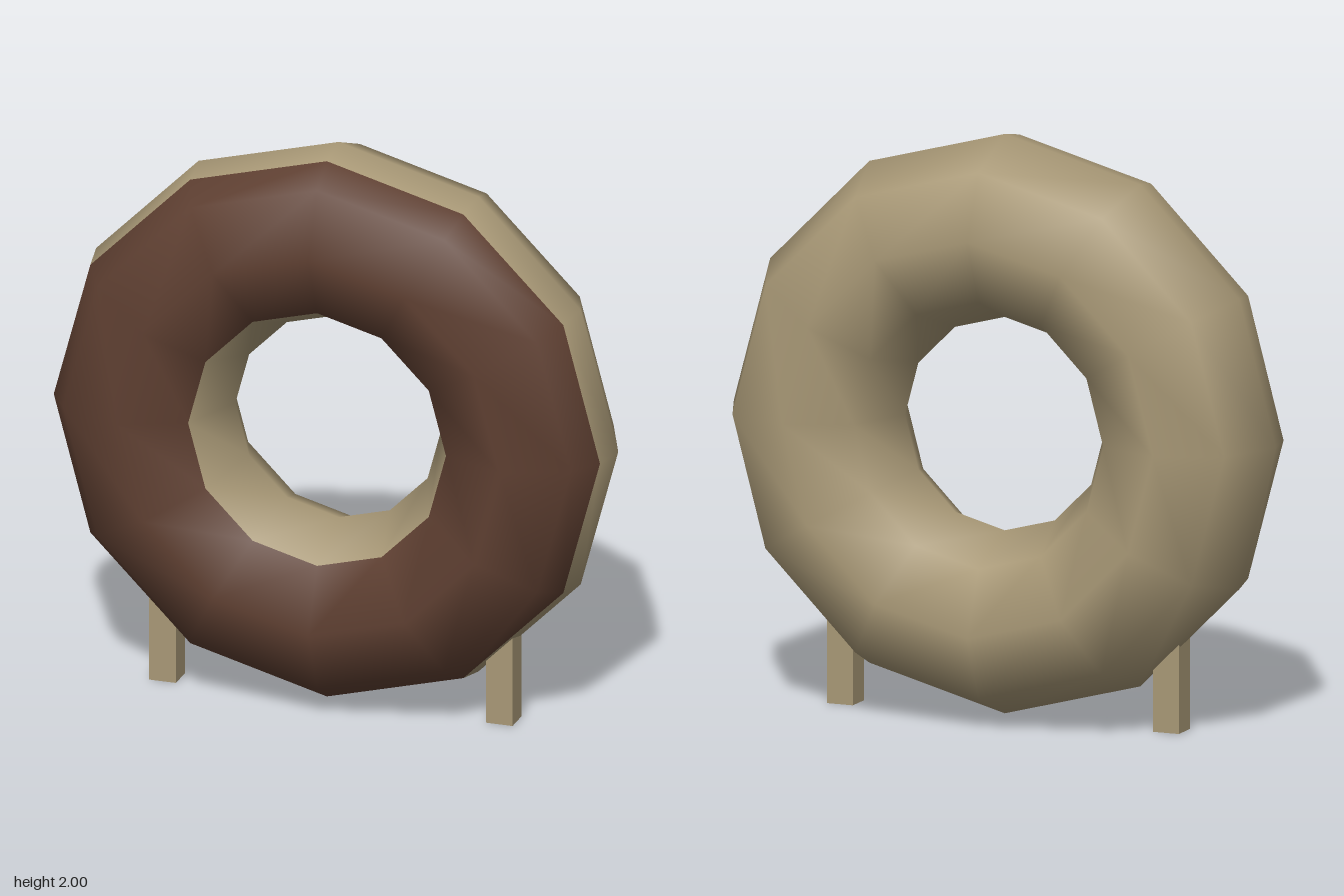
import * as THREE from 'three';

const RING = 0.679, TUBE = 0.3135, CENTER_Y = 1.0075, SIDES = 12;

// Part of a torus around z: one strip of quads between the given tube angles (degrees).
function ringBand(angles) {
  const position = [], normal = [], index = [];
  const n = angles.length;
  for (let i = 0; i <= SIDES; i++) {
    const u = (i / SIDES) * Math.PI * 2;
    for (const degrees of angles) {
      const v = THREE.MathUtils.degToRad(degrees);
      const r = RING + TUBE * Math.cos(v);
      position.push(r * Math.cos(u), r * Math.sin(u), TUBE * Math.sin(v));
      normal.push(Math.cos(v) * Math.cos(u), Math.cos(v) * Math.sin(u), Math.sin(v));
    }
  }
  for (let i = 0; i < SIDES; i++) {
    for (let j = 0; j < n - 1; j++) {
      const a = i * n + j, b = a + n;
      index.push(a, b, b + 1, a, b + 1, a + 1);
    }
  }
  const geometry = new THREE.BufferGeometry();
  geometry.setAttribute('position', new THREE.Float32BufferAttribute(position, 3));
  geometry.setAttribute('normal', new THREE.Float32BufferAttribute(normal, 3));
  geometry.setIndex(index);
  return geometry;
}

export function createModel() {
  const dough = new THREE.MeshStandardMaterial({ color: 0xa89876 });
  dough.name = 'dough beige';
  const chocolate = new THREE.MeshStandardMaterial({ color: 0x5e3f31 });
  chocolate.name = 'chocolate brown';

  const model = new THREE.Group();
  model.name = 'standingDonut';
  const add = (name, geometry, material, x, y, z) => {
    const mesh = new THREE.Mesh(geometry, material);
    mesh.name = name;
    mesh.position.set(x, y, z);
    model.add(mesh);
  };

  // Icing covers the front; dough wraps from the hole round the back to the rim
  add('icing', ringBand([22.5, 45, 90, 135]), chocolate, 0, CENTER_Y, 0);
  add('dough', ringBand([135, 180, 225, 270, 315, 360, 382.5]), dough, 0, CENTER_Y, 0);

  // Two short square posts running up into the ring
  for (const [name, side] of [['leftPost', 1], ['rightPost', -1]]) {
    add(name, new THREE.BoxGeometry(0.095, 0.38, 0.095), dough, side * 0.597, 0.19, 0.031);
  }
  return model;
}
